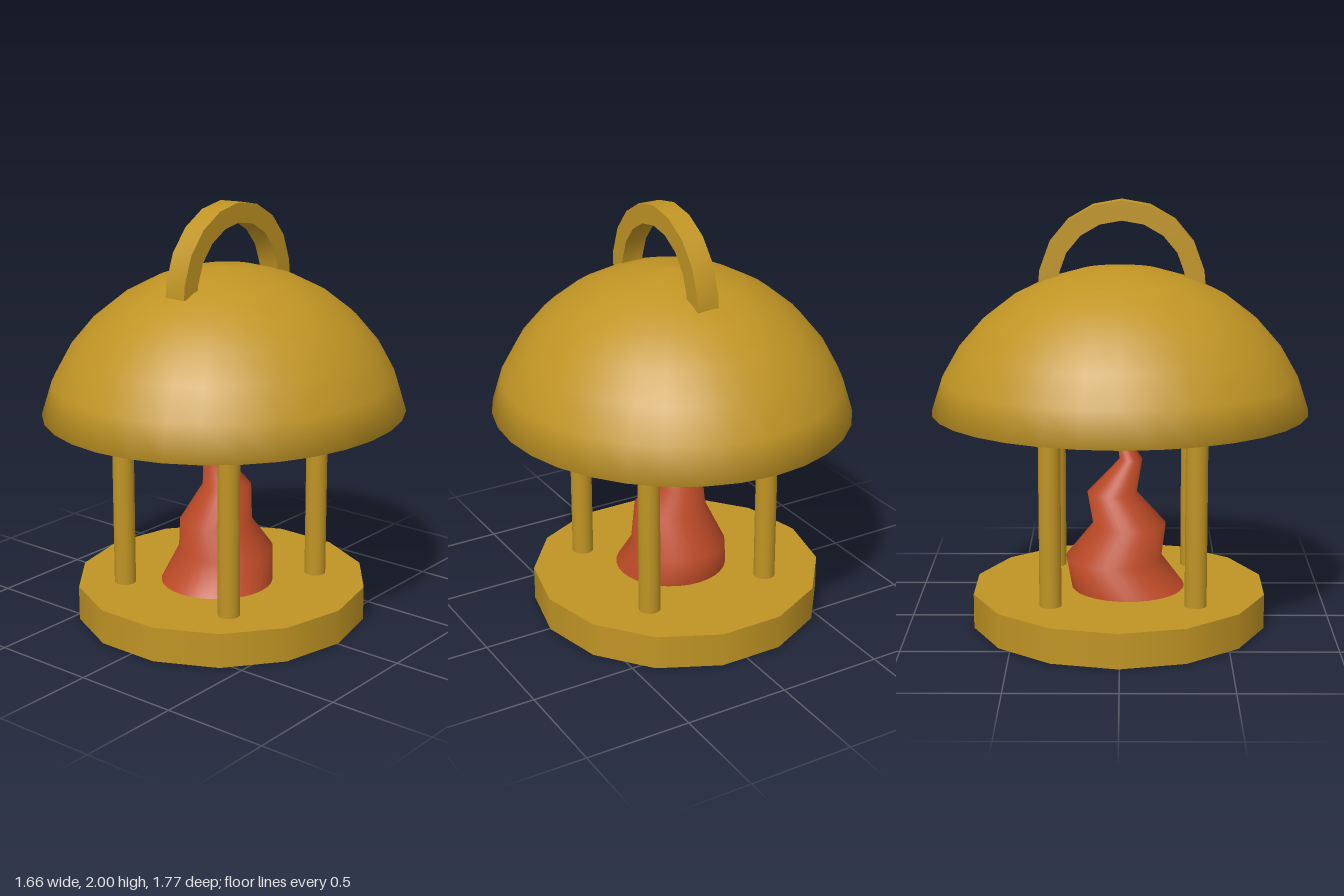
import * as THREE from 'three';
import { mergeVertices, toCreasedNormals } from 'three/addons/utils/BufferGeometryUtils.js';

const gold = new THREE.MeshStandardMaterial({ color: 0xc09424 });
gold.name = 'gold';
const flameRed = new THREE.MeshStandardMaterial({ color: 0xc04c28 });
flameRed.name = 'flame red';

function part(name, geometry, material, x = 0, y = 0, z = 0) {
  const mesh = new THREE.Mesh(geometry, material);
  mesh.name = name;
  mesh.position.set(x, y, z);
  return mesh;
}

// Dome: slightly oval, 16-ring sphere cut at its 7th ring, with a smooth lip turned inward
function domeGeometry() {
  const points = [new THREE.Vector2(0.765, 1.11)];
  for (let k = 7; k >= 0; k--) {
    const a = (k * Math.PI) / 16;
    points.push(new THREE.Vector2(0.848 * Math.sin(a), 0.855 + 0.845 * Math.cos(a)));
  }
  return new THREE.LatheGeometry(points, 32).scale(1, 1, 1.064);
}

// Flame: a cone whose rings are pushed back and forth along z
function flameGeometry() {
  // radius, height, z of each ring
  const rings = [
    [0.27, 0.16, 0.04], [0.228, 0.31, -0.03], [0.173, 0.47, 0.045],
    [0.117, 0.625, -0.038], [0.054, 0.785, 0.052], [0, 0.985, -0.025],
  ];
  const geometry = new THREE.LatheGeometry(rings.map(([r, y]) => new THREE.Vector2(r, y)), 32);
  const pos = geometry.attributes.position;
  for (let i = 0; i < pos.count; i++) {
    pos.setZ(i, pos.getZ(i) + rings[i % rings.length][2]);
  }
  geometry.deleteAttribute('normal');
  geometry.deleteAttribute('uv');
  const merged = mergeVertices(geometry);
  merged.computeVertexNormals();
  return merged;
}

// Handle: half ring of square section in 20 degree steps
function handleGeometry() {
  const angles = [0, 10, 30, 50, 70, 90, 110, 130, 150, 170, 180];
  const arc = (r) => angles.map((d) => {
    const a = THREE.MathUtils.degToRad(d);
    return new THREE.Vector2(r * Math.cos(a), r * Math.sin(a));
  });
  const shape = new THREE.Shape([...arc(0.387), ...arc(0.295).reverse()]);
  const geometry = new THREE.ExtrudeGeometry(shape, { depth: 0.107, bevelEnabled: false });
  geometry.rotateY(Math.PI / 2);
  return toCreasedNormals(geometry, THREE.MathUtils.degToRad(35));
}

export function createModel() {
  const model = new THREE.Group();
  model.name = 'lantern';

  // Round base, 14 sides
  const base = new THREE.CylinderGeometry(0.695, 0.695, 0.165, 14, 1, false, Math.PI / 2);
  model.add(part('base', base.scale(1, 1, 1.01), gold, -0.025, 0.0825, -0.005));

  // Four posts between base and ceiling
  const post = new THREE.CylinderGeometry(0.051, 0.051, 0.96, 24);
  for (const x of [-0.335, 0.305]) {
    for (const z of [-0.32, 0.35]) {
      model.add(part('post', post, gold, x, 0.635, z));
    }
  }

  model.add(part('flame', flameGeometry(), flameRed, -0.02));

  // Dome and the flat ceiling inside it
  model.add(part('dome', domeGeometry(), gold));
  const ceiling = new THREE.CircleGeometry(0.765, 32).rotateX(Math.PI / 2).scale(1, 1, 1.064);
  model.add(part('ceiling', ceiling, gold, 0, 1.11, 0));

  model.add(part('handle', handleGeometry(), gold, -0.02, 1.613, 0.008));
  return model;
}
